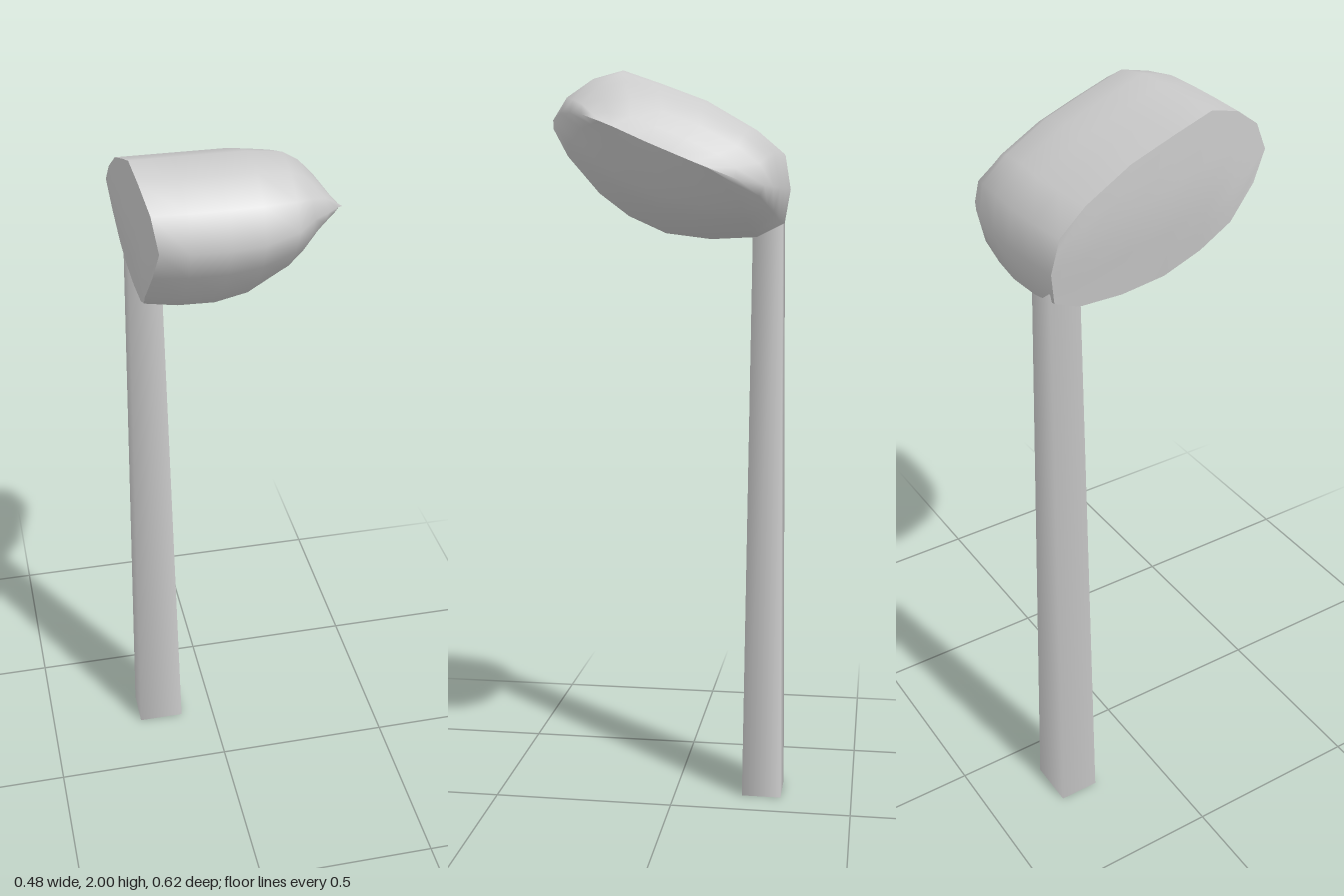
import * as THREE from 'three';

const material = new THREE.MeshStandardMaterial({ color: 0xcccccc });

// Head profile in the z-y plane: flat top, belly and the ridge where they meet
const zs = [-0.305, -0.29, -0.22, -0.1, 0.02, 0.12, 0.2, 0.27, 0.308];
const top = [1.70, 1.79, 1.85, 1.92, 1.965, 2.0, 1.98, 1.93, 1.85];
const belly = [1.70, 1.61, 1.575, 1.57, 1.585, 1.63, 1.69, 1.775, 1.85];
const ridge = [1.70, 1.70, 1.708, 1.755, 1.805, 1.85, 1.88, 1.885, 1.85];
const last = zs.length - 1;

// Head sections along x: [x, z min, z max, top fullness, belly fullness]
const sections = [
  [-0.24, -0.295, 0.302, 1, 0.93],
  [-0.14, -0.305, 0.307, 1, 0.99],
  [-0.05, -0.308, 0.308, 1, 1],
  [0.03, -0.302, 0.304, 1, 0.92],
  [0.11, -0.294, 0.286, 0.94, 0.71],
  [0.15, -0.28, 0.258, 0.8, 0.54],
  [0.19, -0.262, 0.225, 0.56, 0.31],
  [0.22, -0.2, 0.19, 0.28, 0.14],
  [0.24, -0.13, 0.16, 0, 0],
];

function ridgeAt(z) {
  let i = 0;
  while (i < last - 1 && z > zs[i + 1]) i++;
  const t = THREE.MathUtils.clamp((z - zs[i]) / (zs[i + 1] - zs[i]), 0, 1);
  return THREE.MathUtils.lerp(ridge[i], ridge[i + 1], t);
}

function sectionPoint([x, zMin, zMax, up, down], col, isTop) {
  const z = THREE.MathUtils.mapLinear(zs[col], zs[0], zs[last], zMin, zMax);
  const offset = isTop ? (top[col] - ridge[col]) * up : (belly[col] - ridge[col]) * down;
  return new THREE.Vector3(x, ridgeAt(z) + offset, z);
}

// The striking face leans inwards at its lower edge and at the tip
function leanFace(p) {
  const low = THREE.MathUtils.clamp((1.79 - p.y) / 0.2, 0, 1);
  const tip = THREE.MathUtils.clamp((p.z - 0.1) / 0.2, 0, 1) ** 2;
  p.x = -0.243 + 0.033 * Math.max(low, tip);
  return p;
}

// Smooth surface through rows of points
function skin(rows, closed) {
  const n = rows[0].length;
  const index = [];
  for (let i = 0; i < rows.length - 1; i++) {
    for (let j = 0; j < (closed ? n : n - 1); j++) {
      const k = (j + 1) % n;
      const a = i * n + j, b = i * n + k, c = b + n, d = a + n;
      index.push(a, b, c, a, c, d);
    }
  }
  const geometry = new THREE.BufferGeometry().setFromPoints(rows.flat());
  geometry.setIndex(index);
  geometry.computeVertexNormals();
  return geometry;
}

function addMesh(group, name, geometry) {
  const mesh = new THREE.Mesh(geometry, material);
  mesh.name = name;
  group.add(mesh);
  return mesh;
}

export function createModel() {
  const model = new THREE.Group();
  model.name = 'golfClub';

  // Head body
  const rings = sections.map((section, s) => {
    const ring = [];
    for (let c = 0; c <= last; c++) ring.push(sectionPoint(section, c, true));
    for (let c = last - 1; c > 0; c--) ring.push(sectionPoint(section, c, false));
    return s === 0 ? ring.map(leanFace) : ring;
  });
  addMesh(model, 'headBody', skin(rings, true));

  // Striking face
  const faceRows = [];
  for (let r = 0; r <= 6; r++) {
    faceRows.push(zs.map((_, c) => leanFace(
      sectionPoint(sections[0], c, false).lerp(sectionPoint(sections[0], c, true), r / 6))));
  }
  addMesh(model, 'strikingFace', skin(faceRows, false));

  // Tapered four-sided shaft, running up into the heel of the head
  const height = 1.7;
  const shaft = new THREE.CylinderGeometry(0.04 * Math.SQRT2, 0.0655 * Math.SQRT2, height, 4, 1);
  shaft.rotateY(Math.PI / 4);
  const pos = shaft.attributes.position;
  for (let i = 0; i < pos.count; i++) {
    const t = pos.getY(i) / height + 0.5;
    pos.setZ(i, pos.getZ(i) * THREE.MathUtils.lerp(0.84, 0.98, t));
  }
  addMesh(model, 'shaft', shaft).position.set(-0.164, height / 2, -0.246);

  return model;
}
